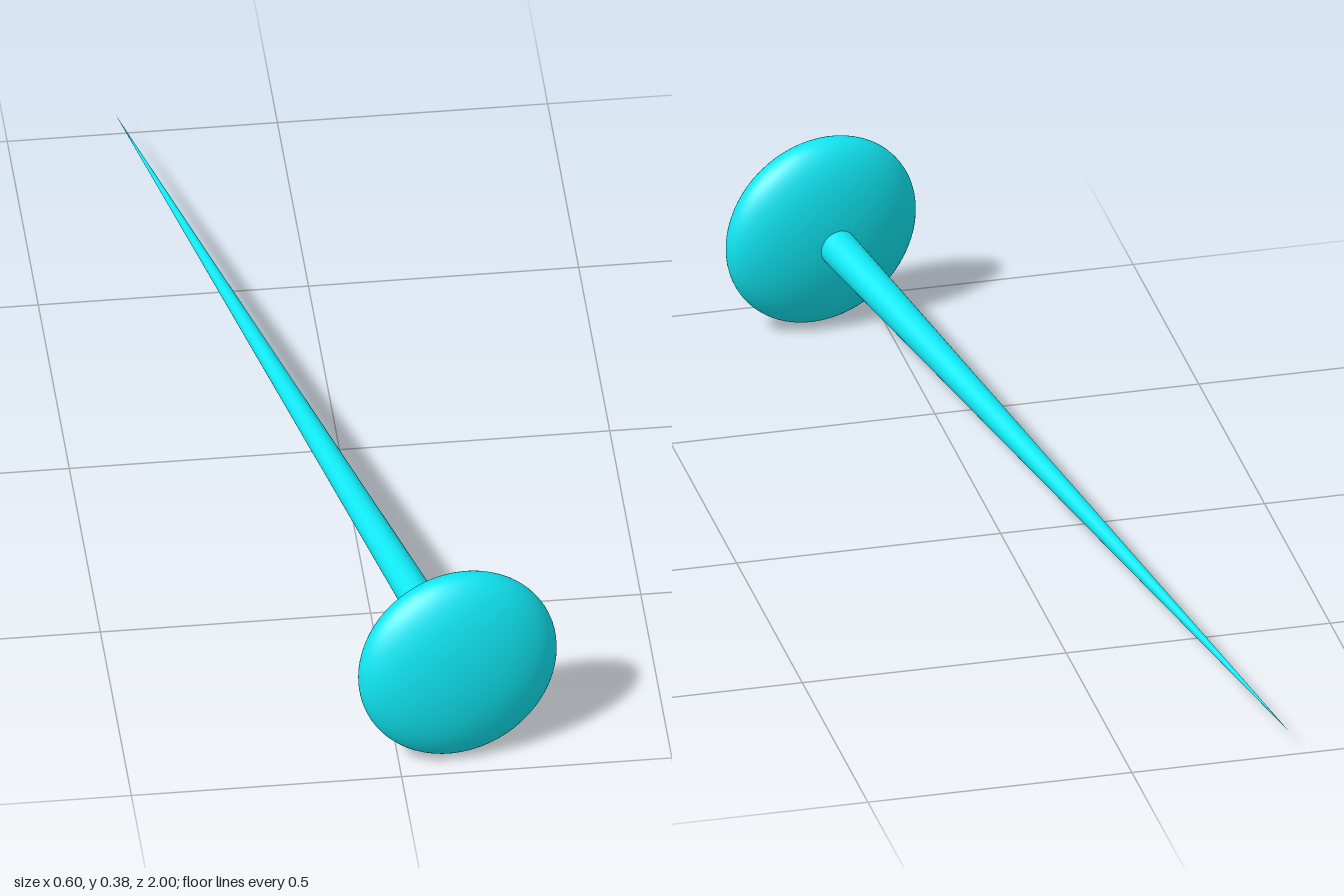
import * as THREE from 'three';

export function createModel() {
  const group = new THREE.Group();
  const material = new THREE.MeshStandardMaterial({ color: 0x10e8f4 });

  const headCentre = new THREE.Vector3(0.113, 0.193, 0.915);
  const tip = new THREE.Vector3(-0.3, 0.048, -1);
  const axis = headCentre.clone().sub(tip);
  const length = axis.length();

  // The nail is laid out along +y, with the head centre at the origin
  const nail = new THREE.Group();
  nail.name = 'nail';
  nail.position.copy(headCentre);
  nail.quaternion.setFromUnitVectors(new THREE.Vector3(0, 1, 0), axis.normalize());
  group.add(nail);

  // Flattened round head
  const headShape = new THREE.SphereGeometry(1, 64, 40).scale(0.191, 0.0755, 0.191);
  const head = new THREE.Mesh(headShape, material);
  head.name = 'head';
  nail.add(head);

  // Long shaft tapering to a point, its wide end buried in the head
  const shaftShape = new THREE.ConeGeometry(0.0367, length, 40, 1, true)
    .rotateX(Math.PI)
    .translate(0, -length / 2, 0);
  const shaft = new THREE.Mesh(shaftShape, material);
  shaft.name = 'shaft';
  nail.add(shaft);

  return group;
}
